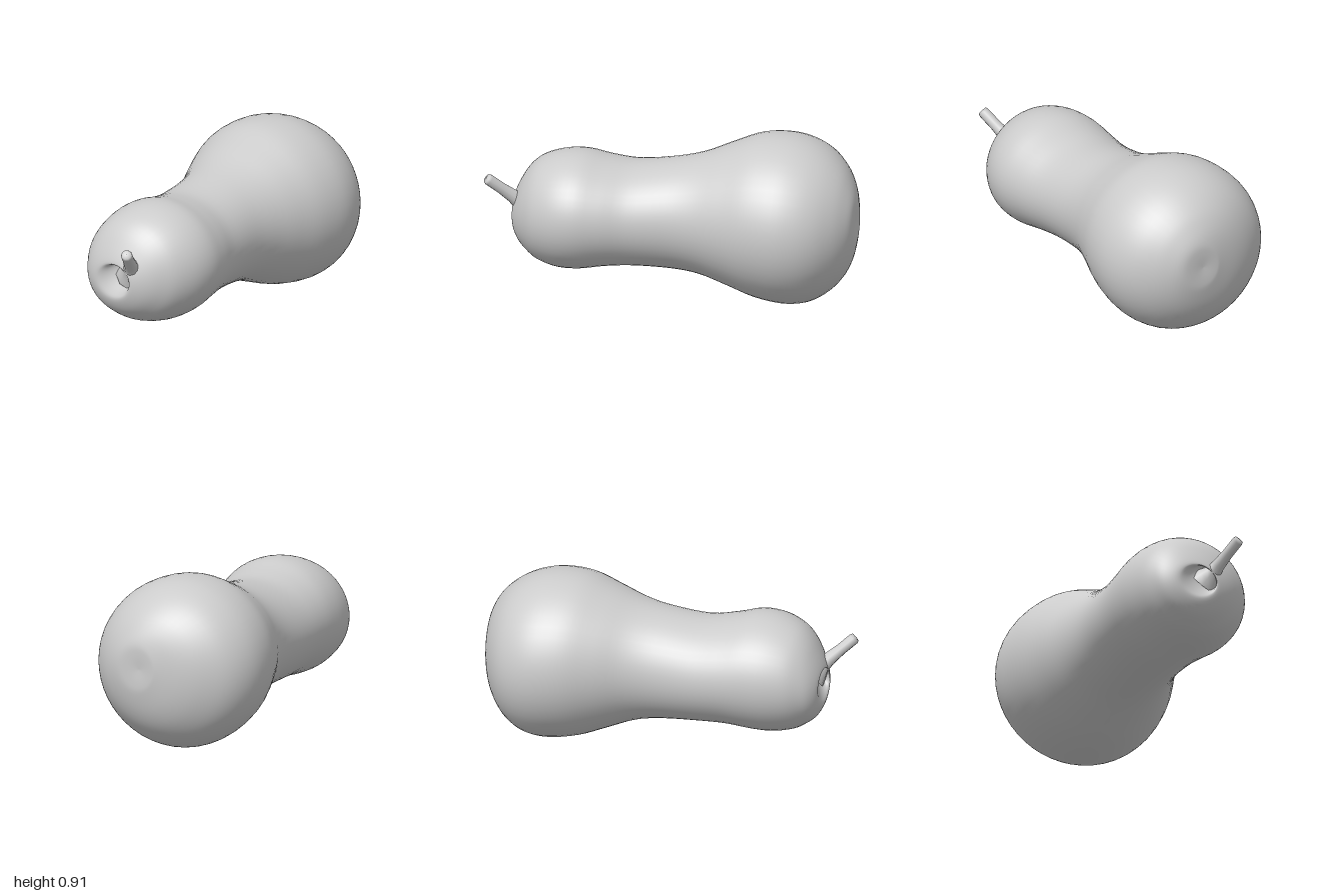
import * as THREE from 'three';

// Body sections along x: [x, bottom y, top y, back z, front z]
const SECTIONS = [
  [-0.795, 0.475, 0.485, 0.12, 0.13],
  [-0.81, 0.42, 0.535, 0.05, 0.19],
  [-0.85, 0.35, 0.51, -0.03, 0.15],
  [-0.86, 0.31, 0.52, -0.08, 0.16],
  [-0.83, 0.25, 0.59, -0.145, 0.225],
  [-0.78, 0.205, 0.67, -0.19, 0.295],
  [-0.71, 0.165, 0.73, -0.23, 0.365],
  [-0.6, 0.14, 0.77, -0.26, 0.418],
  [-0.48, 0.142, 0.777, -0.272, 0.432],
  [-0.35, 0.16, 0.748, -0.275, 0.405],
  [-0.2, 0.165, 0.73, -0.277, 0.362],
  [0, 0.157, 0.755, -0.282, 0.342],
  [0.15, 0.135, 0.79, -0.318, 0.358],
  [0.3, 0.082, 0.85, -0.39, 0.402],
  [0.45, 0.028, 0.905, -0.452, 0.45],
  [0.6, 0.003, 0.914, -0.475, 0.47],
  [0.72, 0.014, 0.89, -0.455, 0.45],
  [0.82, 0.065, 0.84, -0.395, 0.4],
  [0.9, 0.145, 0.77, -0.29, 0.325],
  [0.95, 0.235, 0.695, -0.18, 0.255],
  [0.98, 0.34, 0.62, -0.06, 0.19],
  [0.985, 0.4, 0.56, -0.02, 0.13],
  [0.98, 0.475, 0.485, 0.05, 0.06],
];

// Smooth skin through elliptical cross-sections, closed at both ends
function loft(sections, rings, sides) {
  const centres = new THREE.CatmullRomCurve3(sections.map(([x, b, t, k, f]) =>
    new THREE.Vector3(x, (b + t) / 2, (k + f) / 2)), false, 'catmullrom', 0.5);
  const radii = new THREE.CatmullRomCurve3(sections.map(([, b, t, k, f]) =>
    new THREE.Vector3(0, (t - b) / 2, (f - k) / 2)), false, 'catmullrom', 0.5);
  const pos = [], index = [];
  for (let i = 0; i <= rings; i++) {
    const c = centres.getPoint(i / rings), r = radii.getPoint(i / rings);
    for (let j = 0; j < sides; j++) {
      const a = (j / sides) * Math.PI * 2;
      pos.push(c.x, c.y + r.y * Math.cos(a), c.z + r.z * Math.sin(a));
      if (i === rings) continue;
      const p = i * sides + j, q = i * sides + (j + 1) % sides;
      index.push(p, q, p + sides, q, q + sides, p + sides);
    }
  }
  // End caps
  const last = rings * sides;
  for (let j = 1; j < sides - 1; j++) {
    index.push(0, j + 1, j, last, last + j, last + j + 1);
  }
  const geo = new THREE.BufferGeometry();
  geo.setAttribute('position', new THREE.Float32BufferAttribute(pos, 3));
  geo.setIndex(index);
  geo.computeVertexNormals();
  return geo;
}

export function createModel() {
  const group = new THREE.Group();
  group.name = 'squash';
  const material = new THREE.MeshStandardMaterial({ color: 0xcccccc, roughness: 0.8 });

  // Pear-shaped body, dimpled at both ends
  const body = new THREE.Mesh(loft(SECTIONS, 88, 48), material);
  body.name = 'body';
  group.add(body);

  // Stem with flared base and blunt tip
  const base = new THREE.Vector3(-0.785, 0.465, 0.12);
  const tip = new THREE.Vector3(-0.98, 0.638, 0.224);
  const axis = tip.clone().sub(base);
  const length = axis.length();
  const profile = [
    [0.095, -0.02], [0.07, 0.02], [0.047, 0.055], [0.037, 0.1], [0.031, 0.18],
    [0.031, length - 0.015], [0.026, length], [0, length + 0.003],
  ].map(([r, y]) => new THREE.Vector2(r, y));
  const stem = new THREE.Mesh(new THREE.LatheGeometry(profile, 10), material);
  stem.name = 'stem';
  stem.position.copy(base);
  stem.quaternion.setFromUnitVectors(new THREE.Vector3(0, 1, 0), axis.normalize());
  group.add(stem);

  return group;
}
